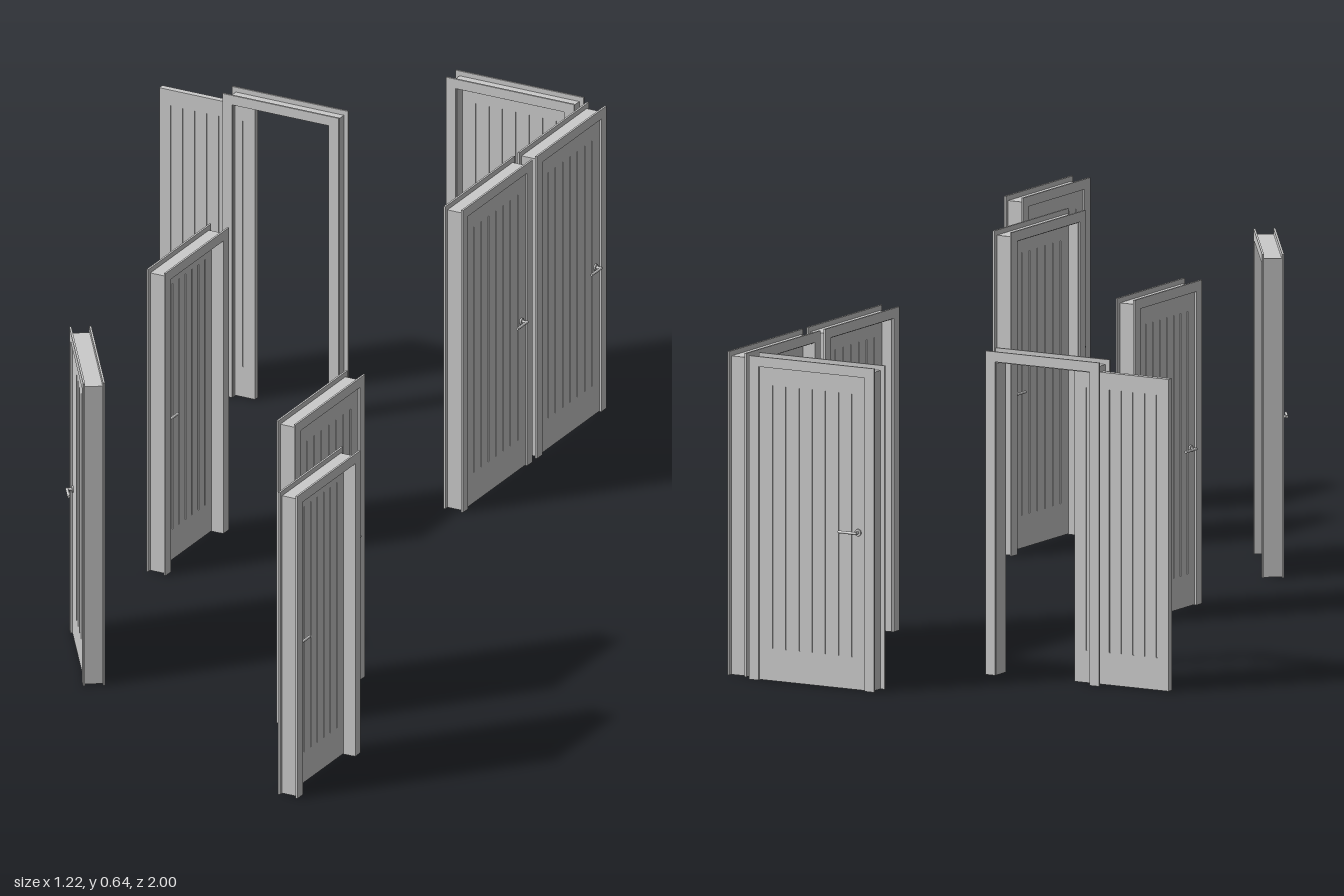
import * as THREE from 'three';

const mat = new THREE.MeshStandardMaterial({ color: 0xcccccc });
const HEIGHT = 0.64, DEPTH = 0.043, TRIM = 0.004, LEAF = 0.013;

function add(parent, name, geometry, x = 0, y = 0, z = 0) {
  const mesh = new THREE.Mesh(geometry, mat);
  mesh.name = name;
  mesh.position.set(x, y, z);
  parent.add(mesh);
  return mesh;
}

// Upside-down U standing on the floor, used for jambs and trims
function archGeometry(outer, top, inner, innerTop, depth) {
  const shape = new THREE.Shape([
    [-outer, 0], [-inner, 0], [-inner, innerTop], [inner, innerTop],
    [inner, 0], [outer, 0], [outer, top], [-outer, top],
  ].map(([x, y]) => new THREE.Vector2(x, y)));
  return new THREE.ExtrudeGeometry(shape, { depth, bevelEnabled: false });
}

// Jamb with a thin, slightly wider trim on each side
function makeFrame(width) {
  const frame = new THREE.Group();
  frame.name = 'doorFrame';
  const h = width / 2, d = DEPTH / 2;
  add(frame, 'jamb', archGeometry(h - 0.009, 0.63, h - 0.0225, 0.618, DEPTH - 2 * TRIM), 0, 0, -d + TRIM);
  const trim = archGeometry(h, HEIGHT, h - 0.0215, 0.62, TRIM);
  add(frame, 'frontTrim', trim, 0, 0, d - TRIM);
  add(frame, 'backTrim', trim, 0, 0, -d);
  return frame;
}

// Door leaf with seven narrow vertical grooves on both faces
function makeLeaf(width) {
  const leaf = new THREE.Group();
  leaf.name = 'doorLeaf';
  const h = width / 2, t = LEAF / 2, low = 0.065, high = 0.585, top = 0.618;
  const step = width / 8, half = 0.00125, cut = 0.002;
  const face = [];
  for (let i = -3; i <= 3; i++) {
    const x = i * step;
    face.push([x - half, -t], [x - half, -t + cut], [x + half, -t + cut], [x + half, -t]);
  }
  const lower = [[-h, -t], ...face, [h, -t]];
  const upper = lower.map(([x, y]) => [-x, -y]);
  const section = new THREE.Shape([...lower, ...upper].map(([x, y]) => new THREE.Vector2(x, y)));
  const grooved = new THREE.ExtrudeGeometry(section, { depth: high - low, bevelEnabled: false });
  grooved.rotateX(-Math.PI / 2);
  add(leaf, 'groovedPanel', grooved, 0, low, 0);
  add(leaf, 'bottomRail', new THREE.BoxGeometry(width, low - 0.001, LEAF), 0, (low + 0.001) / 2, 0);
  add(leaf, 'topRail', new THREE.BoxGeometry(width, top - high, LEAF), 0, (top + high) / 2, 0);
  return leaf;
}

// Lever handle: round plate, stem and a lever pointing along +x or -x
function makeHandle(dir) {
  const handle = new THREE.Group();
  handle.name = 'leverHandle';
  const plate = new THREE.CylinderGeometry(0.007, 0.007, 0.003, 20).rotateX(Math.PI / 2);
  const stem = new THREE.CylinderGeometry(0.003, 0.003, 0.013, 12).rotateX(Math.PI / 2);
  const lever = new THREE.CylinderGeometry(0.0028, 0.0028, 0.041, 12).rotateZ(Math.PI / 2);
  add(handle, 'plate', plate, 0, 0, 0.0015);
  add(handle, 'stem', stem, 0, 0, 0.0065);
  add(handle, 'lever', lever, dir * 0.0175, 0, 0.012);
  return handle;
}

// Hinged door: leaf set near the +z side, handles near the end given by side
function makeDoor(width, side) {
  const door = new THREE.Group();
  door.add(makeFrame(width));
  const leafZ = DEPTH / 2 - TRIM - LEAF / 2;
  const leaf = makeLeaf(width - 0.045);
  leaf.position.z = leafZ;
  door.add(leaf);
  const x = side * (width / 2 - 0.038);
  const outside = makeHandle(-side);
  outside.position.set(x, 0.312, leafZ + LEAF / 2);
  const inside = makeHandle(side);
  inside.position.set(x, 0.312, leafZ - LEAF / 2);
  inside.rotation.y = Math.PI;
  door.add(outside, inside);
  return door;
}

export function createModel() {
  const model = new THREE.Group();
  model.name = 'doorSet';
  const WIDE = 0.283, NARROW = 0.257, Q = Math.PI / 2;

  // Hinged doors: name, width, x, z, turn, handle end
  const doors = [
    ['rearDoor', WIDE, 0.02, -0.968, Math.PI, 1],
    ['rearSideDoor', WIDE, 0.199, -0.83, Q, 1],
    ['middleSideDoor', WIDE, 0.199, -0.528, Q, 1],
    ['centreDoor', NARROW, -0.161, 0.033, -Q, 1],
    ['angledDoor', WIDE, -0.083, 0.585, -0.977, -1],
    ['frontSideDoor', WIDE, 0.416, 0.552, Q, 1],
    ['frontDoor', NARROW, 0.587, 0.872, -Q, 1],
  ];
  for (const [name, width, x, z, turn, side] of doors) {
    const door = makeDoor(width, side);
    door.name = name;
    door.position.set(x, 0, z);
    door.rotation.y = turn;
    model.add(door);
  }

  // Sliding door, pushed open past its frame
  const sliding = new THREE.Group();
  sliding.name = 'slidingDoor';
  sliding.position.set(-0.337, 0, -0.69);
  const leaf = makeLeaf(0.212);
  leaf.position.set(-0.168, 0, 0.004);
  sliding.add(makeFrame(NARROW), leaf);
  model.add(sliding);

  return model;
}
